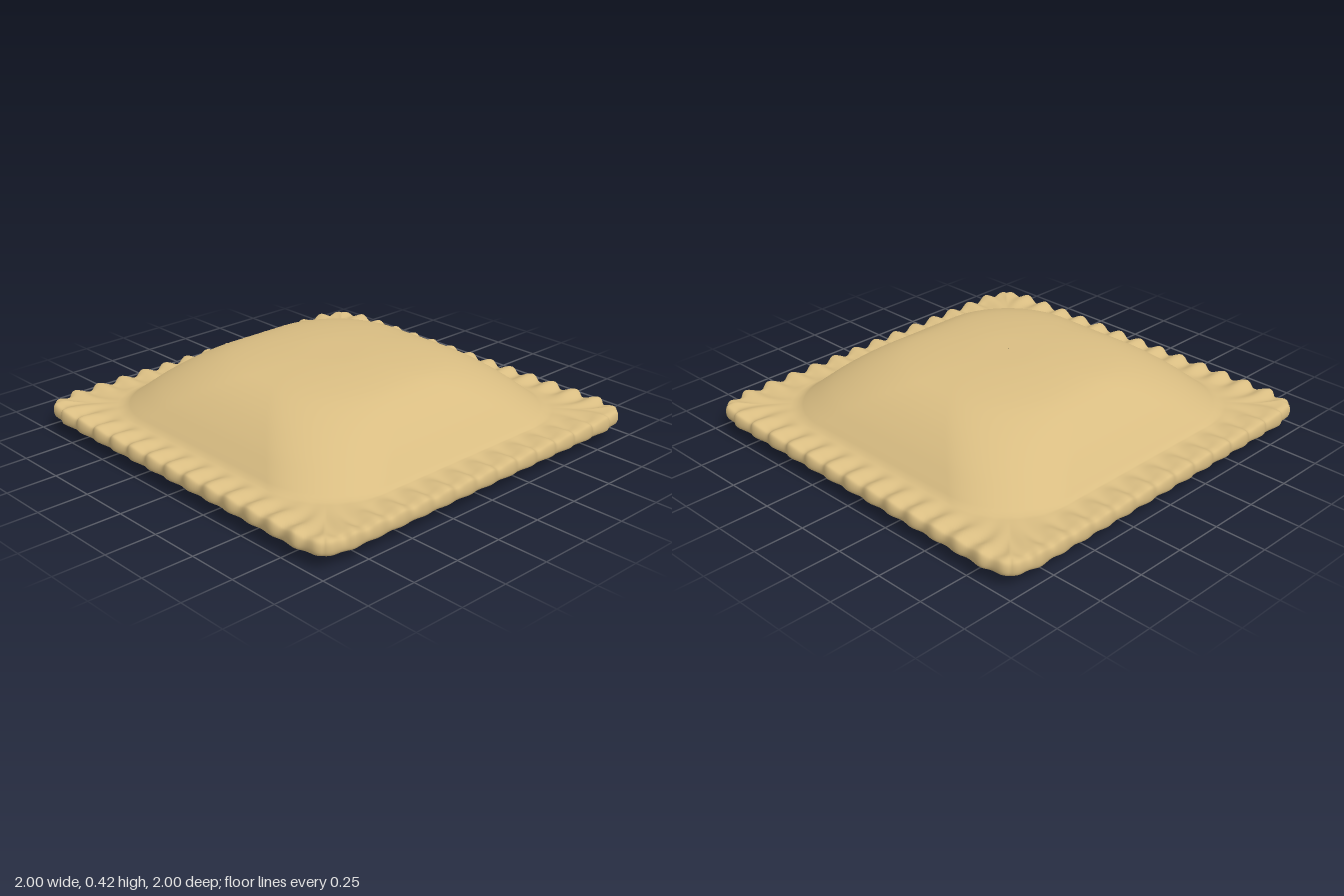
import * as THREE from 'three';

const PER_SIDE = 150;   // points along each side of a ring
const PERIOD = 0.1352;  // spacing of the crimped ribs

// Point on a rounded square of half width h and corner radius r; u runs -1..1 on side k
function ringPoint(h, r, u, k) {
  const core = h - r;
  const qx = THREE.MathUtils.clamp(u * h, -core, core);
  const d = new THREE.Vector2(u * h - qx, r).setLength(r);
  const p = new THREE.Vector2(qx + d.x, core + d.y);
  return p.rotateAround(new THREE.Vector2(), -k * Math.PI / 2);
}

// Rings from rows of (half width, corner radius, height), smoothed with a spline
function smoothRings(rows, steps) {
  return new THREE.CatmullRomCurve3(rows.map(r => new THREE.Vector3(...r))).getPoints(steps);
}

function pastaGeometry() {
  // filled dome on top
  const dome = smoothRings([
    [0.002, 0.0015, 0.422], [0.2, 0.19, 0.42], [0.4, 0.34, 0.4], [0.5, 0.38, 0.375],
    [0.6, 0.39, 0.325], [0.7, 0.38, 0.25], [0.77, 0.37, 0.183], [0.805, 0.36, 0.147],
  ], 32);
  // flat crimped border, over the edge and back underneath
  const rim = smoothRings([
    [0.82, 0.35, 0.136], [0.86, 0.22, 0.133], [0.92, 0.12, 0.135], [0.965, 0.07, 0.136],
    [0.985, 0.06, 0.128], [0.992, 0.06, 0.1], [0.986, 0.06, 0.07], [0.965, 0.07, 0.058],
    [0.9, 0.14, 0.056], [0.83, 0.3, 0.055],
  ], 40);
  // shallow belly underneath
  const belly = smoothRings([
    [0.8, 0.35, 0.05], [0.7, 0.36, 0.034], [0.55, 0.36, 0.016],
    [0.35, 0.3, 0.004], [0.002, 0.0015, 0],
  ], 16);
  const rings = [...dome, ...rim, ...belly];
  const n = PER_SIDE * 4;
  const pos = [], index = [];

  rings.forEach(({ x: h, y: r, z: y }, j) => {
    const fade = THREE.MathUtils.smoothstep(h, 0.81, 0.93);
    const edge = THREE.MathUtils.smoothstep(h, 0.93, 0.985);
    const top = THREE.MathUtils.smoothstep(y, 0.06, 0.13);
    for (let i = 0; i < n; i++) {
      const u = (i % PER_SIDE) / PER_SIDE * 2 - 1;
      const corner = THREE.MathUtils.smoothstep(Math.abs(u), 0.82, 0.98);
      const wave = Math.cos(u * h * 2 * Math.PI / PERIOD) * (1 - 0.6 * corner);
      // scalloped outline, drawn in a little at the corners
      const out = edge * (0.008 * wave - 0.02 * corner);
      const p = ringPoint(h + out, r, u, Math.floor(i / PER_SIDE));
      pos.push(p.x, y + fade * wave * (0.003 + 0.009 * top), p.y);
      if (j < rings.length - 1) {
        const a = j * n + i, b = j * n + (i + 1) % n;
        index.push(a, a + n, b + n, a, b + n, b);
      }
    }
  });

  const geo = new THREE.BufferGeometry();
  geo.setAttribute('position', new THREE.Float32BufferAttribute(pos, 3));
  geo.setIndex(index);
  geo.computeVertexNormals();
  return geo;
}

export function createModel() {
  const dough = new THREE.MeshStandardMaterial({ color: 0xd9bd82 });
  dough.name = 'dough';
  const pasta = new THREE.Mesh(pastaGeometry(), dough);
  pasta.name = 'filledPasta';
  const group = new THREE.Group();
  group.name = 'ravioli';
  group.add(pasta);
  return group;
}
